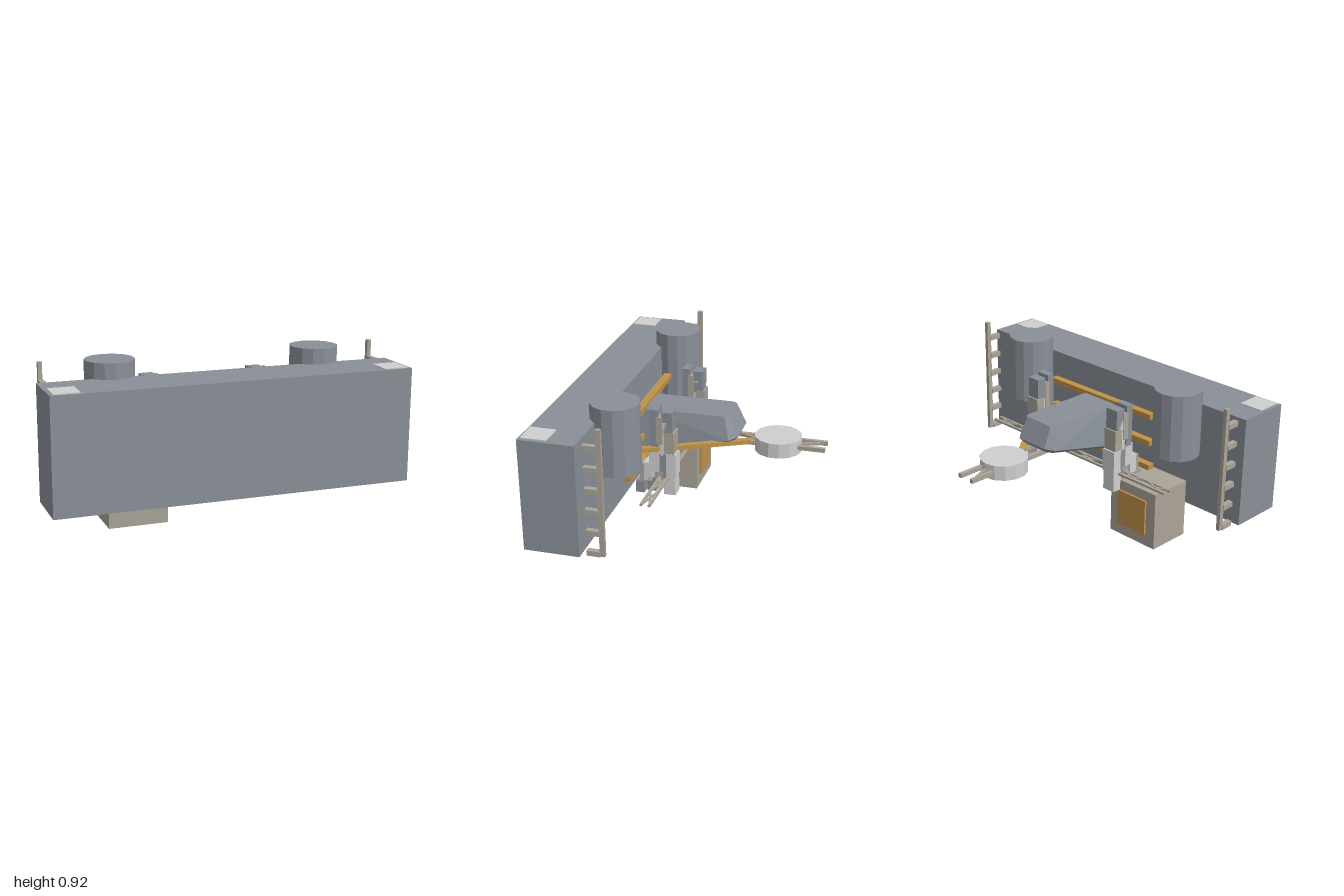
import * as THREE from 'three';
import { ConvexGeometry } from 'three/addons/geometries/ConvexGeometry.js';

const flat = (name, color) => {
  const m = new THREE.MeshStandardMaterial({ color });
  m.name = name;
  return m;
};

export function createModel() {
  const model = new THREE.Group();
  const gray = flat('slateGray', 0x8a9098);
  const beige = flat('warmBeige', 0xaaa498);
  const light = flat('lightGray', 0xcfcfcf);
  const gold = flat('gold', 0xc0924a);

  const add = (name, geo, mat, parent = model) => {
    const mesh = new THREE.Mesh(geo, mat);
    mesh.name = name;
    parent.add(mesh);
    return mesh;
  };
  const group = (name) => {
    const g = new THREE.Group();
    g.name = name;
    model.add(g);
    return g;
  };
  // Box given by its limits on each axis
  const box = (name, mat, x0, x1, y0, y1, z0, z1, parent) => {
    const m = add(name, new THREE.BoxGeometry(x1 - x0, y1 - y0, z1 - z0), mat, parent);
    m.position.set((x0 + x1) / 2, (y0 + y1) / 2, (z0 + z1) / 2);
    return m;
  };
  // Square bar between two points
  const bar = (name, mat, a, b, w, h, parent) => {
    const p = new THREE.Vector3(...a), q = new THREE.Vector3(...b);
    const m = add(name, new THREE.BoxGeometry(w, h, p.distanceTo(q)), mat, parent);
    m.position.copy(p).add(q).multiplyScalar(0.5);
    m.lookAt(q);
    return m;
  };
  // Faceted upright drum
  const drum = (name, mat, r, x, y0, y1, z) => {
    const geo = new THREE.CylinderGeometry(r, r, y1 - y0, 14).toNonIndexed();
    geo.computeVertexNormals();
    add(name, geo, mat).position.set(x, (y0 + y1) / 2, z);
  };

  // Main slab with corner plates above and below
  box('mainSlab', gray, -1, 1, 0.2, 0.835, 0.4, 0.71);
  for (const s of [-1, 1]) {
    for (const y of [0.198, 0.837]) {
      const x = s * 0.91;
      box('cornerPlate', light, x - 0.07, x + 0.07, y - 0.003, y + 0.003, 0.555, 0.698);
    }
    // Tanks
    drum('tank', gray, 0.135, s * 0.59, 0.535, 0.922, 0.325);
    // Ladders
    const ladder = group('ladder');
    const x = s * 0.955;
    box('ladderRail', beige, x - 0.011, x + 0.011, 0.2, 0.922, 0.272, 0.3, ladder);
    for (let i = 0; i < 6; i++) {
      const y = 0.213 + i * 0.1205;
      box('ladderRung', beige, x - 0.015, x + 0.015, y - 0.015, y + 0.015, 0.295, 0.372, ladder);
    }
  }

  // Hanging equipment box with rear panel
  box('equipmentBox', beige, -0.625, -0.29, 0, 0.345, 0.126, 0.386);
  box('equipmentPanel', gold, -0.56, -0.355, 0.07, 0.285, 0.114, 0.126);

  // Hull: chamfered rings, flat on top, sloping underneath
  const slope = (z) => 0.5 - 0.25 * z;
  const hullPoints = [];
  const ring = (w, z0, z1, c, yAt) => {
    for (const s of [-1, 1]) {
      for (const [x, z] of [[w - c, z0], [w, z0 + c], [w, z1 - c], [w - c, z1]]) {
        hullPoints.push(new THREE.Vector3(s * x, yAt(z), z));
      }
    }
  };
  ring(0.115, -0.17, 0.37, 0.02, () => 0.685);
  ring(0.147, -0.225, 0.4, 0.045, (z) => slope(z) + 0.01);
  ring(0.11, -0.2, 0.385, 0.03, (z) => slope(z) - 0.015);
  add('hull', new ConvexGeometry(hullPoints), gray);

  // Gold cross bars and the long strut
  for (const y of [0.37, 0.522, 0.685]) {
    box('crossBar', gold, -0.4, 0.4, y - 0.016, y + 0.016, 0.315, 0.358);
  }
  bar('strut', gold, [0.02, 0.517, -0.3], [0.45, 0.57, 0.32], 0.035, 0.025);

  // Long cross truss: two rails with crossed braces
  const truss = group('crossTruss');
  for (const z of [0.112, 0.158]) {
    box('trussRail', beige, -0.705, 0.705, 0.383, 0.395, z - 0.007, z + 0.007, truss);
  }
  const bays = 8, bay = 1.4 / bays;
  for (let i = 0; i < bays; i++) {
    const x = -0.7 + i * bay;
    bar('trussBrace', beige, [x, 0.389, 0.112], [x + bay, 0.389, 0.158], 0.01, 0.009, truss);
    bar('trussBrace', beige, [x, 0.388, 0.158], [x + bay, 0.388, 0.112], 0.01, 0.009, truss);
  }

  // Rear boom and disc
  const boom = group('rearBoom');
  for (const x of [-0.047, 0.047]) {
    box('boomRail', beige, x - 0.011, x + 0.011, 0.506, 0.53, -0.71, -0.15, boom);
  }
  for (const [z0, z1] of [[-0.7, -0.45], [-0.2, -0.45]]) {
    bar('boomBrace', beige, [-0.047, 0.518, z0], [0.047, 0.518, z1], 0.014, 0.016, boom);
  }
  drum('rearDisc', light, 0.135, 0, 0.474, 0.56, -0.435);

  // Stacked block towers: z range, y range, colour
  const blocks = [
    [0.085, 0.145, 0.65, 0.78, gray], [0.165, 0.21, 0.54, 0.79, gray],
    [0.14, 0.175, 0.59, 0.75, beige], [0.11, 0.155, 0.52, 0.72, light],
    [0.075, 0.13, 0.53, 0.66, beige], [0.065, 0.12, 0.4, 0.535, light],
    [0.12, 0.17, 0.38, 0.53, gray], [0.16, 0.22, 0.42, 0.55, light],
    [0.2, 0.25, 0.36, 0.47, light], [0.22, 0.275, 0.31, 0.46, beige],
    [0.14, 0.19, 0.32, 0.42, beige], [0.18, 0.23, 0.3, 0.38, gray],
    [0.07, 0.135, 0.285, 0.4, light], [0.25, 0.3, 0.28, 0.35, gray],
  ];
  for (const s of [-1, 1]) {
    const tower = group('blockTower');
    blocks.forEach(([z0, z1, y0, y1, mat], i) => {
      const c = s * 0.318, w = 0.04 + (i % 3) * 0.002;
      box('towerBlock', mat, c - w, c + w, y0, y1, z0, z1, tower);
    });
  }
  return model;
}
